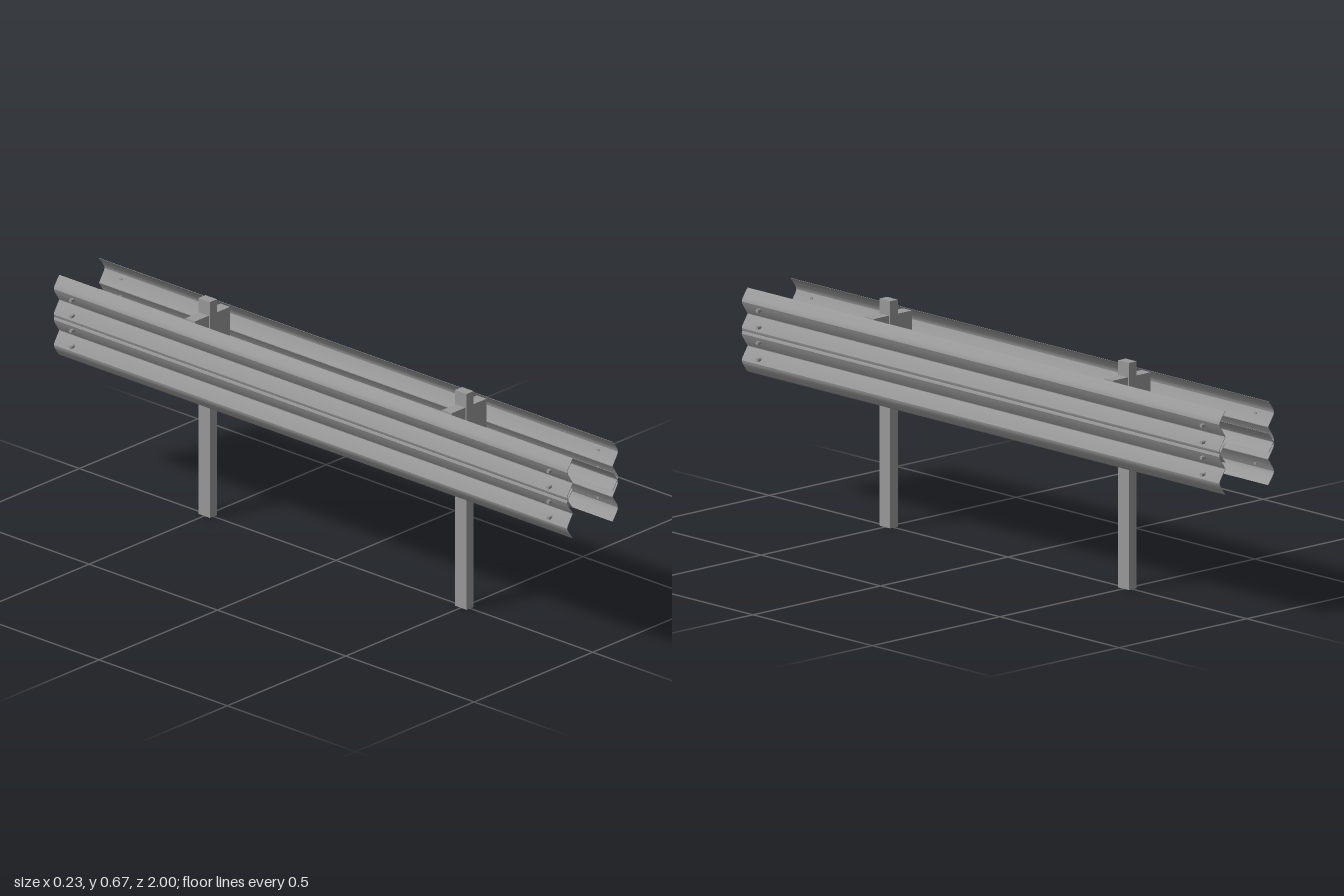
import * as THREE from 'three';
import { toCreasedNormals } from 'three/addons/utils/BufferGeometryUtils.js';

const steel = new THREE.MeshStandardMaterial({ color: 0x999999 });
steel.name = 'galvanised steel';

const LENGTH = 2;
const SHEET = 0.002;

function addMesh(parent, name, geometry, x, y, z) {
  const mesh = new THREE.Mesh(geometry, steel);
  mesh.name = name;
  mesh.position.set(x, y, z);
  parent.add(mesh);
  return mesh;
}

// W-shaped sheet section, extruded along z and centred on its valley
function beamGeometry() {
  const half = [
    [0.083, 0.076], [0.0885, 0.0695], [0.0945, 0.061], [0.1005, 0.0525],
    [0.1045, 0.0455], [0.106, 0.039], [0.1035, 0.0315], [0.0835, 0.001],
  ];
  const outer = [...half, ...half.map(([x, y]) => [x, -y]).reverse()];
  const inner = outer.map(([x, y]) => [x + SHEET, y]).reverse();
  const shape = new THREE.Shape([...outer, ...inner].map(([x, y]) => new THREE.Vector2(x, y)));
  const geometry = new THREE.ExtrudeGeometry(shape, { depth: LENGTH, bevelEnabled: false });
  geometry.translate(0, 0, -LENGTH / 2);
  return toCreasedNormals(geometry, 0.5);
}

export function createModel() {
  const model = new THREE.Group();
  model.name = 'guardrail';

  const beam = beamGeometry();
  const bolt = toCreasedNormals(new THREE.CylinderGeometry(0.0055, 0.0055, 0.016, 12), 0.7);
  bolt.rotateZ(Math.PI / 2);
  const post = new THREE.BoxGeometry(0.03, 0.67, 0.045);
  const block = new THREE.BoxGeometry(0.059, 0.152, 0.037);

  // Two overlapping beams per side, bolted at both ends
  for (const side of [1, -1]) {
    const rail = new THREE.Group();
    rail.name = side > 0 ? 'leftRail' : 'rightRail';
    for (const [name, y] of [['upper', 0.551], ['lower', 0.456]]) {
      addMesh(rail, name + 'Beam', beam, 0, y, 0);
      for (const z of [-0.93, 0.93]) {
        for (const dy of [-0.025, 0.025]) addMesh(rail, name + 'Bolt', bolt, 0.106, y + dy, z);
      }
    }
    if (side < 0) rail.rotation.y = Math.PI;
    model.add(rail);
  }

  // Posts with a spacer block on each side
  for (const z of [-0.5, 0.5]) {
    addMesh(model, 'post', post, 0, 0.335, z);
    for (const side of [1, -1]) addMesh(model, 'spacerBlock', block, side * 0.0445, 0.551, z);
  }

  return model;
}
